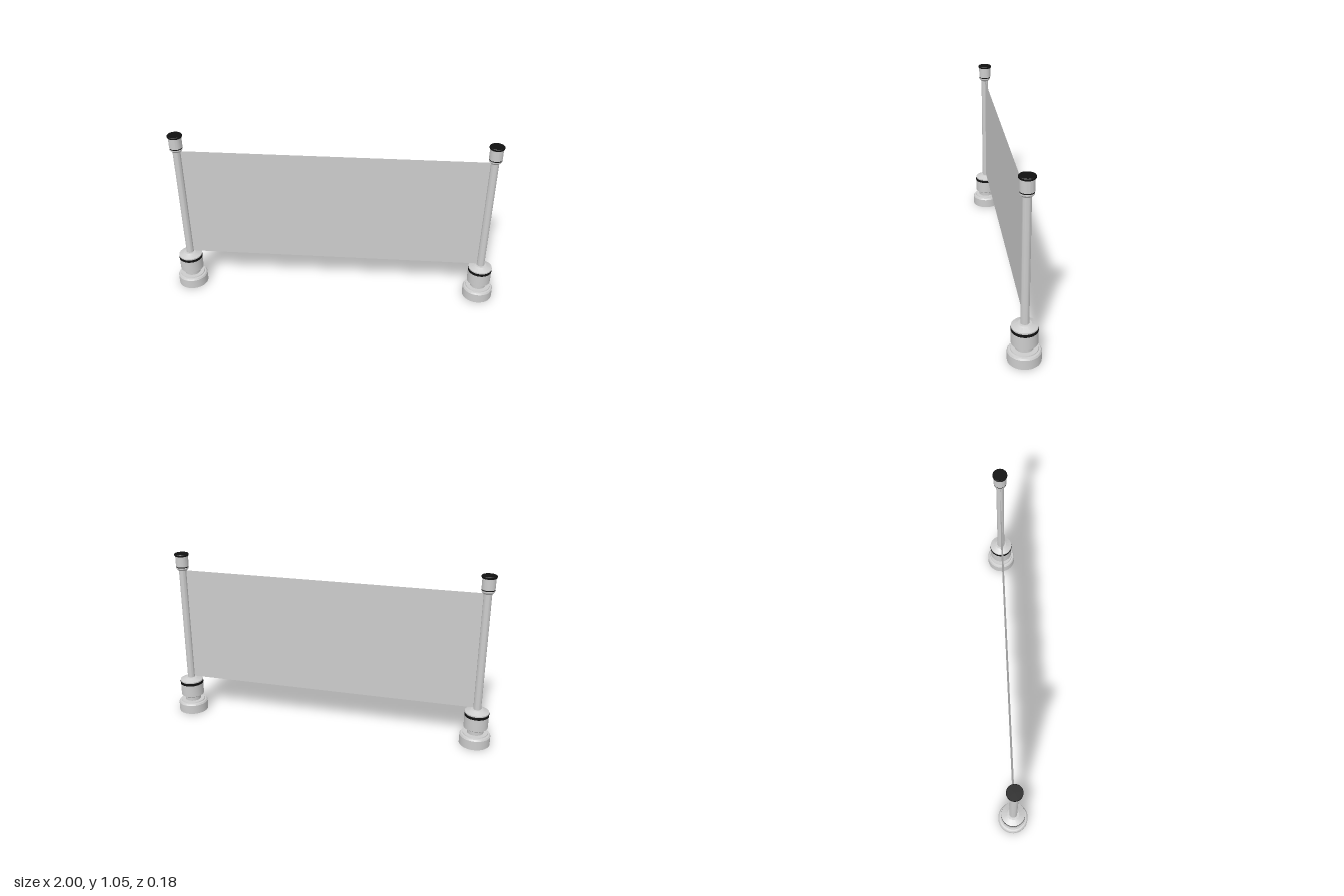
import * as THREE from 'three';
import { toCreasedNormals } from 'three/addons/utils/BufferGeometryUtils.js';

const grey = new THREE.MeshStandardMaterial({ color: 0xcccccc, side: THREE.DoubleSide });
const black = new THREE.MeshStandardMaterial({ color: 0x111111, side: THREE.DoubleSide });
const POST_X = 0.91;

// Turned part from [radius, height] pairs, listed bottom to top
function turned(name, profile, material = grey) {
  const points = profile.map(([r, y]) => new THREE.Vector2(r, y));
  const geometry = toCreasedNormals(new THREE.LatheGeometry(points, 40), 0.4);
  const mesh = new THREE.Mesh(geometry, material);
  mesh.name = name;
  return mesh;
}

function createPost(name, x) {
  const post = new THREE.Group();
  post.name = name;
  post.position.x = x;
  post.add(
    // Hollow foot, open underneath, narrowing into the neck
    turned('foot', [[0.091, 0], [0.091, 0.057], [0.085, 0.066], [0.075, 0.068], [0.073, 0.074], [0.0485, 0.074]]),
    turned('neck', [[0.0485, 0.074], [0.0485, 0.102]]),
    turned('drum', [[0.0485, 0.102], [0.058, 0.102], [0.071, 0.111], [0.071, 0.188], [0.064, 0.188]]),
    turned('drumBand', [[0.064, 0.188], [0.072, 0.188], [0.072, 0.203], [0.064, 0.203]], black),
    turned('shoulder', [[0.064, 0.205], [0.071, 0.205], [0.071, 0.213], [0.043, 0.225], [0.036, 0.229], [0.023, 0.23]]),
    turned('pole', [[0.023, 0.225], [0.023, 0.945]]),
    turned('collar', [[0.023, 0.942], [0.026, 0.942], [0.037, 0.954], [0.037, 0.961], [0.033, 0.961]]),
    turned('collarBand', [[0.033, 0.961], [0.037, 0.962], [0.037, 0.967], [0.033, 0.968]], black),
    turned('head', [[0.033, 0.968], [0.038, 0.968], [0.038, 1.033]]),
    turned('lid', [[0.036, 1.032], [0.04, 1.032], [0.043, 1.036], [0.043, 1.043], [0.041, 1.046], [0, 1.046]], black),
  );
  return post;
}

export function createModel() {
  const model = new THREE.Group();
  model.name = 'banner barrier';
  model.add(createPost('leftPost', POST_X), createPost('rightPost', -POST_X));

  // Thin banner stretched between the poles
  const bottom = 0.235, top = 0.942;
  const banner = new THREE.Mesh(new THREE.PlaneGeometry(2 * (POST_X - 0.02), top - bottom), grey);
  banner.name = 'banner';
  banner.position.y = (bottom + top) / 2;
  model.add(banner);
  return model;
}
